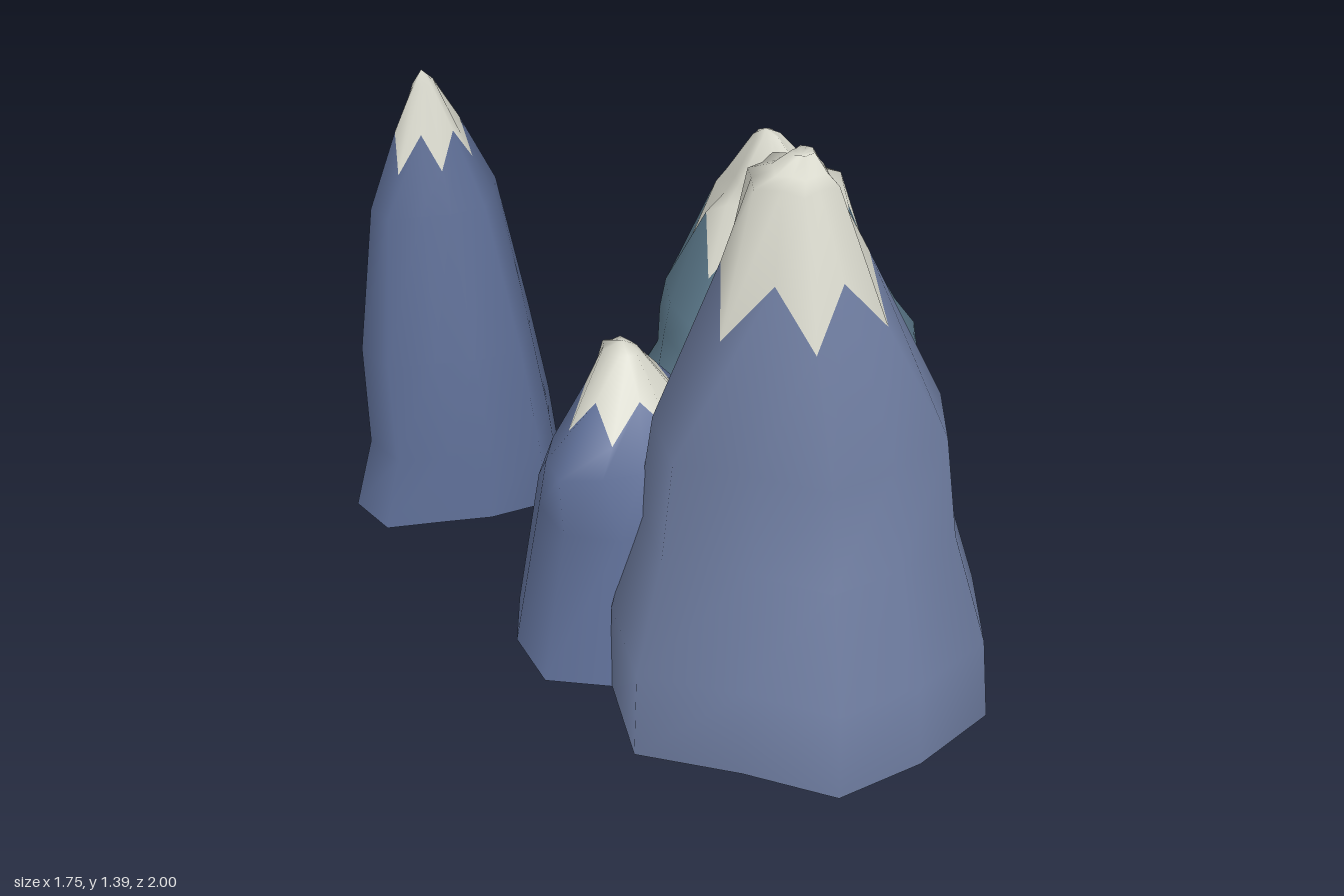
import * as THREE from 'three';

const SNOW = 0xd8d8cc;

// Outline from radii at even angles, from +x towards +z, normalised to a -1..1 box
function makeOutline(startDeg, radii) {
  const points = radii.map((r, i) => {
    const a = THREE.MathUtils.degToRad(startDeg) + (i / radii.length) * Math.PI * 2;
    return new THREE.Vector2(r * Math.cos(a), r * Math.sin(a));
  });
  const box = new THREE.Box2().setFromPoints(points);
  const centre = box.getCenter(new THREE.Vector2());
  const half = box.getSize(new THREE.Vector2()).multiplyScalar(0.5);
  return points.map((p) => p.sub(centre).divide(half));
}

// Skin stacked rings, optionally closing to an apex
function loft(rings, apex) {
  const n = rings[0].length, points = rings.flat(), index = [];
  for (let r = 0; r < rings.length - 1; r++) {
    for (let i = 0; i < n; i++) {
      const a = r * n + i, b = r * n + (i + 1) % n;
      index.push(a, a + n, b, b, a + n, b + n);
    }
  }
  if (apex) {
    const top = points.length, last = top - n;
    points.push(apex);
    for (let i = 0; i < n; i++) index.push(last + i, top, last + (i + 1) % n);
  }
  const g = new THREE.BufferGeometry();
  g.setAttribute('position', new THREE.Float32BufferAttribute(points.flat(), 3));
  g.setIndex(index);
  g.computeVertexNormals();
  return g;
}

function makeMesh(name, geometry, color) {
  const material = new THREE.MeshStandardMaterial({ color, side: THREE.DoubleSide });
  const mesh = new THREE.Mesh(geometry, material);
  mesh.name = name;
  return mesh;
}

// levels: [y, xMin, xMax, zMin, zMax], the box the outline fills at each height
function makeMountain({ name, color, outline, levels, snow, tooth, apex }) {
  // Point i of the outline at height y, interpolated between levels
  const pointAt = (i, y, pinch) => {
    let k = 0;
    while (k < levels.length - 2 && levels[k + 1][0] < y) k++;
    const a = levels[k], b = levels[k + 1];
    const t = (y - a[0]) / (b[0] - a[0]);
    const [x0, x1, z0, z1] = a.slice(1).map((v, j) => THREE.MathUtils.lerp(v, b[j + 1], t));
    const fit = (lo, hi, u) => (lo + hi) / 2 + ((hi - lo) / 2) * u * pinch;
    return [fit(x0, x1, outline[i].x), y, fit(z0, z1, outline[i].y)];
  };
  const ring = (y, crease) => outline.map((_, i) => pointAt(i, y, i % 2 ? crease : 1));
  const zigzag = outline.map((_, i) => (
    i % 2 ? pointAt(i, snow + tooth, 1.04) : pointAt(i, snow - tooth, 0.95)));
  const heights = levels.map((l) => l[0]);

  // Open-bottomed rock up to the jagged snow line, then a creased snow cap
  const rock = heights.filter((y) => y < snow - tooth).map((y) => ring(y, 1));
  const cap = heights.filter((y) => y > snow + tooth).map((y) => ring(y, 0.85));

  const group = new THREE.Group();
  group.name = name;
  group.add(makeMesh('rockSlope', loft([...rock, zigzag]), color));
  group.add(makeMesh('snowCap', loft([zigzag, ...cap], apex), SNOW));
  return group;
}

export function createModel() {
  const model = new THREE.Group();
  model.name = 'mountains';

  // Large mountain at the front
  model.add(makeMountain({
    name: 'largeMountain', color: 0x6b799c,
    outline: makeOutline(4, [0.48, 0.46, 0.47, 0.42, 0.44, 0.39, 0.49, 0.44, 0.4, 0.41, 0.51, 0.54]),
    snow: 1.07, tooth: 0.07, apex: [-0.33, 1.38, 0.49],
    levels: [
      [0, -0.88, 0.095, 0.08, 1],
      [0.23, -0.86, 0.07, 0.085, 0.985],
      [0.46, -0.725, 0.05, 0.09, 0.86],
      [0.73, -0.7, 0.02, 0.15, 0.83],
      [1.08, -0.54, -0.16, 0.32, 0.67],
      [1.34, -0.465, -0.265, 0.38, 0.6],
      [1.355, -0.41, -0.28, 0.43, 0.56],
      [1.39, -0.36, -0.3, 0.47, 0.52],
    ],
  }));

  // Broad teal mountain on the left
  model.add(makeMountain({
    name: 'tealMountain', color: 0x5b788a,
    outline: makeOutline(26, [0.49, 0.45, 0.47, 0.4, 0.39, 0.43, 0.475, 0.445, 0.44, 0.455, 0.485, 0.49, 0.49, 0.47]),
    snow: 0.57, tooth: 0.07, apex: [0.42, 0.9, -0.37],
    levels: [
      [0.015, -0.075, 0.875, -0.8, 0.13],
      [0.17, 0.03, 0.875, -0.73, 0.06],
      [0.26, 0.1, 0.82, -0.765, 0.02],
      [0.38, 0.105, 0.745, -0.71, 0],
      [0.69, 0.29, 0.69, -0.58, -0.22],
      [0.75, 0.32, 0.57, -0.52, -0.24],
      [0.88, 0.38, 0.46, -0.41, -0.33],
    ],
  }));

  // Tall, narrow mountain at the back
  model.add(makeMountain({
    name: 'tallBackMountain', color: 0x5b6b92,
    outline: makeOutline(-15, [0.315, 0.3, 0.28, 0.31, 0.25, 0.235, 0.3, 0.295, 0.265, 0.285, 0.315, 0.33]),
    snow: 1.03, tooth: 0.05, apex: [-0.47, 1.24, -0.73],
    levels: [
      [0, -0.795, -0.175, -1, -0.405],
      [0.2, -0.74, -0.2, -0.95, -0.43],
      [0.47, -0.71, -0.22, -0.98, -0.48],
      [0.87, -0.63, -0.27, -0.915, -0.59],
      [1.2, -0.5, -0.43, -0.76, -0.705],
    ],
  }));

  // Small mountain tucked behind the large one
  model.add(makeMountain({
    name: 'smallMountain', color: 0x5f6f97,
    outline: makeOutline(20, [0.31, 0.33, 0.32, 0.31, 0.31, 0.35, 0.32, 0.305, 0.32, 0.3, 0.36, 0.355]),
    snow: 0.66, tooth: 0.04, apex: [-0.53, 0.82, 0.1],
    levels: [
      [0, -0.87, -0.17, -0.215, 0.41],
      [0.4, -0.78, -0.25, -0.15, 0.36],
      [0.57, -0.79, -0.31, -0.03, 0.29],
      [0.66, -0.66, -0.39, 0, 0.22],
      [0.79, -0.57, -0.48, 0.03, 0.14],
    ],
  }));
  return model;
}
